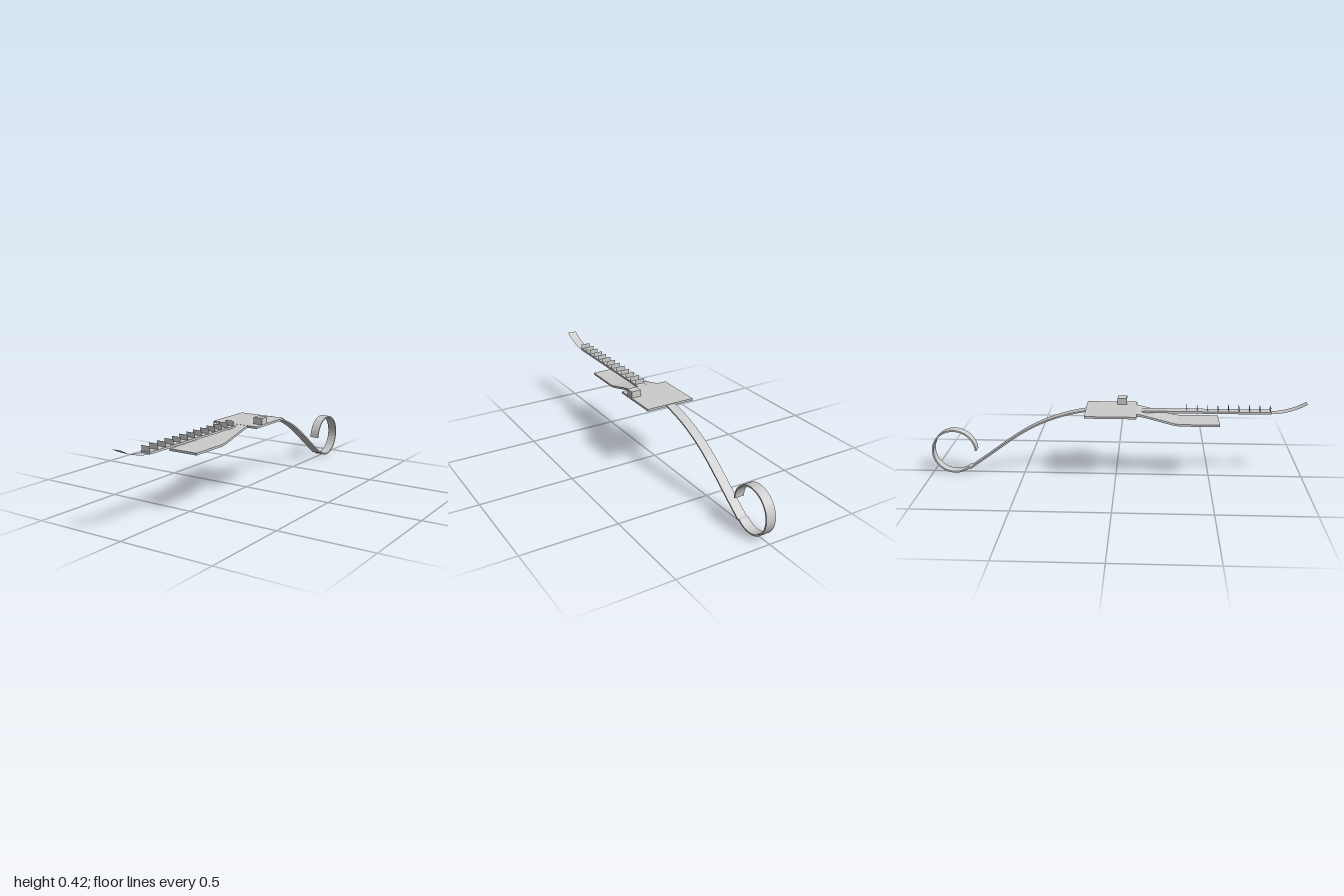
import * as THREE from 'three';
import { toCreasedNormals } from 'three/addons/utils/BufferGeometryUtils.js';

const HALF = 0.026; // half width of the strap

export function createModel() {
  const model = new THREE.Group();
  const metal = new THREE.MeshStandardMaterial({ color: 0xcccccc, side: THREE.DoubleSide });
  metal.name = 'grey metal';

  const add = (name, geometry, x = 0, y = 0, z = 0) => {
    const mesh = new THREE.Mesh(geometry, metal);
    mesh.name = name;
    mesh.position.set(x, y, z);
    model.add(mesh);
    return mesh;
  };

  // Bent strip: a centre line of (z, y) points, thickened and extruded across x
  const strip = (points, thickness, width) => {
    const offset = (side) => points.map((p, i) => {
      const a = points[Math.max(i - 1, 0)];
      const b = points[Math.min(i + 1, points.length - 1)];
      const t = b.clone().sub(a).normalize();
      return new THREE.Vector2(p.x - t.y * side, p.y + t.x * side);
    });
    const outline = [...offset(thickness / 2), ...offset(-thickness / 2).reverse()];
    const g = new THREE.ExtrudeGeometry(new THREE.Shape(outline), { depth: width, bevelEnabled: false });
    g.translate(0, 0, -width / 2);
    g.rotateY(-Math.PI / 2);
    return toCreasedNormals(g, 0.6);
  };
  const v = (z, y) => new THREE.Vector2(z, y);

  // Base plate with the block on its left edge
  add('basePlate', new THREE.BoxGeometry(0.27, 0.011, 0.27), 0, 0.3645, -0.025);
  add('block', new THREE.BoxGeometry(0.053, 0.036, 0.05), 0.1075, 0.387, 0.03);

  // Flap stepping down below the strap
  add('flap', strip([v(0.1, 0.3645), v(0.125, 0.362), v(0.31, 0.314), v(0.335, 0.3105), v(0.545, 0.3105)], 0.011, 0.163));

  // Toothed strap
  add('frontStrap', strip([v(0.125, 0.36), v(0.165, 0.3645), v(0.815, 0.3645)], 0.011, 2 * HALF));
  for (let i = 0; i < 13; i++) {
    add('tooth', new THREE.PlaneGeometry(2 * HALF, 0.026), 0, 0.383, 0.155 + i * 0.0547);
  }

  // Thin upturned tip
  const tip = new THREE.PlaneGeometry(2 * HALF, 1, 1, 16);
  const p = tip.attributes.position;
  for (let i = 0; i < p.count; i++) {
    const t = p.getY(i) + 0.5;
    p.setXYZ(i, p.getX(i), 0.362 + 0.054 * t * t, 0.812 + 0.188 * t);
  }
  tip.computeVertexNormals();
  add('curledTip', tip);

  // Tail sweeping down and rolling into an open loop
  const sweep = new THREE.SplineCurve([
    v(-0.15, 0.3655), v(-0.24, 0.347), v(-0.34, 0.316), v(-0.45, 0.266),
    v(-0.553, 0.202), v(-0.687, 0.104), v(-0.79, 0.03),
  ]).getPoints(36);
  const loop = [];
  for (let i = 0; i <= 48; i++) {
    const a = -0.9 - (i / 48) * (2 * Math.PI - 0.95);
    loop.push(v(-0.878 + 0.118 * Math.cos(a), 0.122 + 0.118 * Math.sin(a)));
  }
  add('tailSpring', strip([...sweep, ...loop], 0.008, 2 * HALF));

  return model;
}
